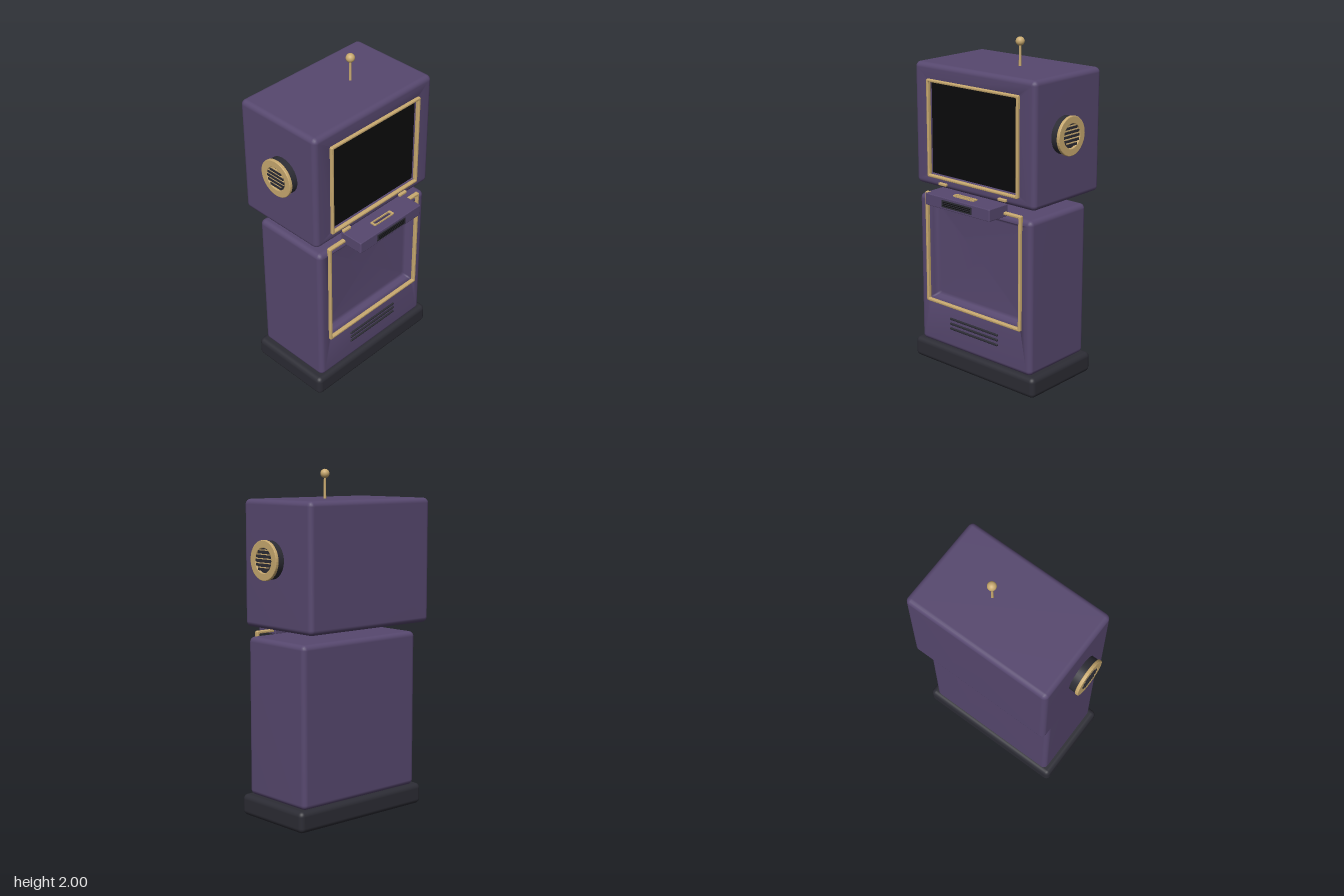
import * as THREE from 'three';
import { RoundedBoxGeometry } from 'three/addons/geometries/RoundedBoxGeometry.js';

const material = (name, color) => {
  const m = new THREE.MeshStandardMaterial({ color });
  m.name = name;
  return m;
};

// Closed outline of a rounded rectangle, counter-clockwise.
function rectPoints(hw, hh, r, cx = 0, cy = 0, n = 5) {
  const pts = [];
  [[1, 1], [-1, 1], [-1, -1], [1, -1]].forEach(([sx, sy], q) => {
    for (let k = 0; k <= n; k++) {
      const a = (q + k / n) * Math.PI / 2;
      pts.push(new THREE.Vector2(
        cx + sx * (hw - r) + r * Math.cos(a), cy + sy * (hh - r) + r * Math.sin(a)));
    }
  });
  return pts;
}

// Skin over rounded-rectangle rings, from back to front, capped at both ends.
function loft(rings) {
  const pos = [], idx = [];
  const count = 24, last = rings.length - 1;
  for (const { hw, hh, r, cy, z } of rings)
    for (const p of rectPoints(hw, hh, r, 0, cy)) pos.push(p.x, p.y, z);
  for (let j = 0; j < count; j++) {
    const k = (j + 1) % count;
    for (let i = 0; i < last; i++) {
      const a = i * count, b = a + count;
      idx.push(a + j, a + k, b + k, a + j, b + k, b + j);
    }
    idx.push((last + 1) * count, k, j);
    idx.push((last + 1) * count + 1, last * count + j, last * count + k);
  }
  pos.push(0, rings[0].cy, rings[0].z, 0, rings[last].cy, rings[last].z);
  const g = new THREE.BufferGeometry();
  g.setAttribute('position', new THREE.Float32BufferAttribute(pos, 3));
  g.setIndex(idx);
  g.computeVertexNormals();
  return g;
}

// Rounded cabinet with a sloped recess sunk into its front.
function cabinet(hw, y0, y1, z0, z1, r, recess) {
  const rings = [], cy = (y0 + y1) / 2, hh = (y1 - y0) / 2, n = 5;
  const edge = (t, z) => {
    const inset = r * (1 - t);
    rings.push({ hw: hw - inset, hh: hh - inset, r: Math.max(r - inset, 0.004), cy, z });
  };
  for (let k = 0; k <= n; k++) {
    const a = k / n * Math.PI / 2;
    edge(Math.sin(a), z0 + r * (1 - Math.cos(a)));
  }
  for (let k = n; k >= 0; k--) {
    const a = k / n * Math.PI / 2;
    edge(Math.sin(a), z1 - r * (1 - Math.cos(a)));
  }
  const { hw: w, y0: b, y1: t, depth, slope } = recess;
  for (const [inset, sink] of [[0, 0], [slope * 0.2, depth * 0.5], [slope * 0.5, depth * 0.85], [slope, depth]])
    rings.push({ hw: w - inset, hh: (t - b) / 2 - inset, r: 0.012, cy: (b + t) / 2, z: z1 - sink });
  return loft(rings);
}

// Extruded plate with a hole, bevelled, centred on its own depth.
function holedPlate(outer, hole, depth, bevel) {
  const shape = new THREE.Shape(outer);
  shape.holes.push(new THREE.Path(hole));
  const g = new THREE.ExtrudeGeometry(shape, {
    depth: depth - 2 * bevel, bevelEnabled: bevel > 0, bevelThickness: bevel,
    bevelSize: bevel, bevelOffset: -bevel, bevelSegments: 2 });
  return g.translate(0, 0, bevel - depth / 2);
}

export function createModel() {
  const purple = material('purple paint', 0x57486f);
  const gold = material('brass', 0xc9aa70);
  const dark = material('charcoal', 0x2c2c34);
  const black = material('screen black', 0x0b0b0c);
  const model = new THREE.Group();
  model.name = 'kiosk';
  const add = (name, geometry, mat, x = 0, y = 0, z = 0, parent = model) => {
    const m = new THREE.Mesh(geometry, mat);
    m.name = name;
    m.position.set(x, y, z);
    parent.add(m);
    return m;
  };

  // Base, body and head
  add('base', new RoundedBoxGeometry(0.95, 0.125, 0.535, 4, 0.03), dark, 0, 0.0625, -0.025);
  add('body', cabinet(0.435, 0.12, 1.05, -0.27, 0.22, 0.03,
    { hw: 0.358, y0: 0.402, y1: 1.015, depth: 0.06, slope: 0.035 }), purple);
  add('head', cabinet(0.457, 1.112, 1.835, -0.355, 0.22, 0.03,
    { hw: 0.335, y0: 1.183, y1: 1.733, depth: 0.02, slope: 0.006 }), purple);
  add('screen', new THREE.BoxGeometry(0.656, 0.536, 0.008), black, 0, 1.459, 0.205);

  // Brass trims
  const trim = (name, hw, y0, y1, t) => {
    const hh = (y1 - y0) / 2;
    add(name, holedPlate(rectPoints(hw, hh, 0.008), rectPoints(hw - t, hh - t, 0.004), 0.025, 0.005),
      gold, 0, (y0 + y1) / 2, 0.225);
  };
  trim('screenTrim', 0.348, 1.168, 1.747, 0.016);
  trim('bodyTrim', 0.371, 0.388, 1.075, 0.017);

  // Vent slats on the lower front
  for (const y of [0.25, 0.281, 0.312])
    add('ventSlat', new RoundedBoxGeometry(0.38, 0.013, 0.014, 2, 0.005), dark, 0, y, 0.222);

  // Shelf with a framed slot through it
  const shelf = add('shelf', holedPlate(rectPoints(0.248, 0.0775, 0.008),
    rectPoints(0.073, 0.016, 0.008, 0, -0.0075), 0.07, 0.004), purple, 0, 1.08, 0.2775);
  shelf.rotation.x = -Math.PI / 2;
  const slot = add('slotTrim', holedPlate(rectPoints(0.079, 0.018, 0.003),
    rectPoints(0.069, 0.012, 0.01), 0.01, 0), gold, 0, 1.118, 0.285);
  slot.rotation.x = -Math.PI / 2;
  add('shelfGrille', new THREE.BoxGeometry(0.23, 0.042, 0.008), dark, 0, 1.079, 0.354);
  for (const y of [1.069, 1.079, 1.089])
    add('grilleLine', new THREE.BoxGeometry(0.21, 0.004, 0.003), black, 0, y, 0.358);

  // Hinges and ears on both sides
  for (const s of [1, -1]) {
    add('hinge', new RoundedBoxGeometry(0.06, 0.016, 0.02, 2, 0.004), gold, s * 0.23, 1.14, 0.227);

    const ear = new THREE.Group();
    ear.name = s > 0 ? 'leftEar' : 'rightEar';
    ear.position.set(s * 0.45, 1.505, -0.025);
    ear.rotation.y = s * Math.PI / 2;
    model.add(ear);
    const drum = add('earDrum', new THREE.CylinderGeometry(0.108, 0.108, 0.053, 40), dark, 0, 0, 0.0265, ear);
    drum.rotation.x = Math.PI / 2;
    const circle = r => new THREE.Path().absarc(0, 0, r, 0, Math.PI * 2).getPoints(20).slice(0, -1);
    add('earRing', holedPlate(circle(0.113), circle(0.069), 0.02, 0.004), gold, 0, 0, 0.056, ear);
    for (let k = -2; k <= 2; k++) {
      const y = k * 0.024, w = 2 * Math.sqrt(0.064 ** 2 - y * y);
      add('earSlat', new THREE.BoxGeometry(w, 0.014, 0.014), dark, 0, y, 0.06, ear);
      add('earLine', new THREE.BoxGeometry(w, 0.005, 0.008), gold, 0, y + 0.0095, 0.06, ear);
    }
  }

  // Antenna
  add('antennaRod', new THREE.CylinderGeometry(0.006, 0.008, 0.15, 16), gold, 0.1, 1.9, -0.067);
  add('antennaBall', new THREE.SphereGeometry(0.026, 24, 16), gold, 0.1, 1.975, -0.067);
  return model;
}
